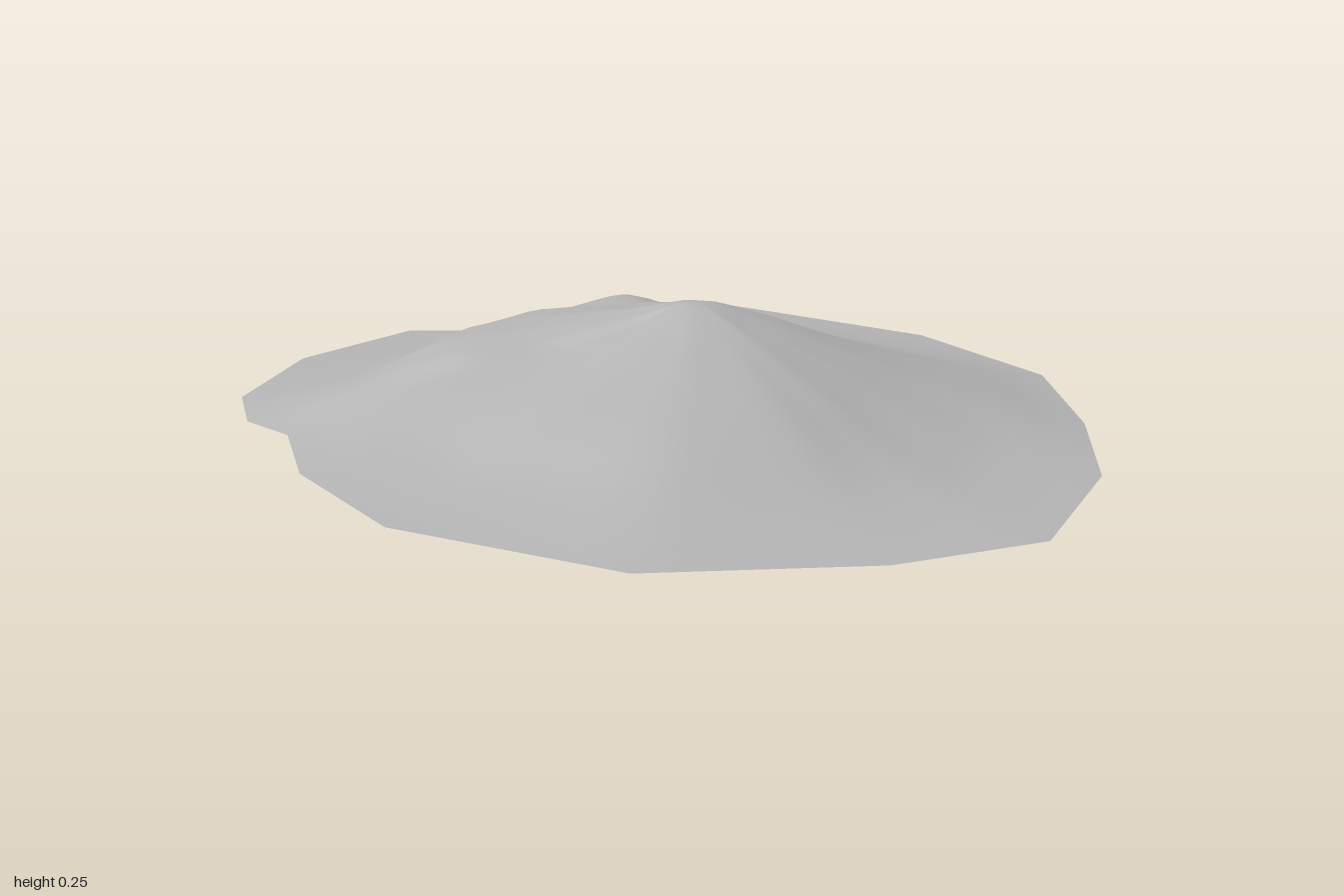
import * as THREE from 'three';

// Rim of the mound on the ground, [x, z], running clockwise from the back
const RIM = [
  [-0.17, -1], [0.16, -0.96], [0.27, -0.81], [0.58, -0.76], [0.83, -0.5], [0.88, 0.1],
  [0.75, 0.5], [0.48, 0.74], [0.19, 0.92], [-0.2, 1], [-0.48, 0.82], [-0.79, 0.46],
  [-0.88, -0.06], [-0.76, -0.41], [-0.6, -0.61], [-0.585, -0.75], [-0.47, -0.89],
];

// Heights along the spoke from the peak to each rim point, at the inner STOPS
const SPOKES = [
  [0.22, 0.18, 0.13, 0.03], [0.215, 0.175, 0.13, 0.03], [0.22, 0.18, 0.14, 0.07],
  [0.215, 0.17, 0.14, 0.06], [0.205, 0.125, 0.085, 0.03], [0.215, 0.13, 0.08, 0.025],
  [0.22, 0.155, 0.095, 0.045], [0.22, 0.16, 0.1, 0.05], [0.215, 0.15, 0.08, 0.025],
  [0.215, 0.145, 0.07, 0.02], [0.215, 0.16, 0.1, 0.03], [0.215, 0.165, 0.115, 0.05],
  [0.21, 0.155, 0.1, 0.03], [0.205, 0.145, 0.095, 0.04], [0.205, 0.15, 0.115, 0.07],
  [0.215, 0.17, 0.145, 0.075], [0.215, 0.18, 0.145, 0.05],
];
const STOPS = [0, 0.15, 0.35, 0.55, 0.75, 1];
const PEAK = { x: 0.05, y: 0.25, z: 0 };
const AROUND = 4, OUTWARD = 4; // subdivisions between control points

function smooth(a, b, c, d, t) {
  return b + 0.5 * t * (c - a + t * (2 * a - 5 * b + 4 * c - d + t * (3 * (b - c) + d - a)));
}

function moundGeometry() {
  const n = RIM.length, columns = n * AROUND, rings = (STOPS.length - 1) * OUTWARD;
  const positions = [PEAK.x, PEAK.y, PEAK.z], index = [];
  const wrap = (i) => (i + n) % n;
  const height = (spoke, stop) => {
    if (stop === 0) return PEAK.y;
    return stop >= STOPS.length - 1 ? 0 : SPOKES[wrap(spoke)][Math.abs(stop) - 1];
  };

  for (let r = 1; r <= rings; r++) {
    const s = Math.min(Math.floor(r / OUTWARD), STOPS.length - 2);
    const u = r / OUTWARD - s;
    const f = THREE.MathUtils.lerp(STOPS[s], STOPS[s + 1], u);
    // Height on one spoke at this ring
    const along = (k) => smooth(height(k, s - 1), height(k, s), height(k, s + 1), height(k, s + 2), u);
    for (let c = 0; c < columns; c++) {
      const k = Math.floor(c / AROUND), v = c / AROUND - k;
      const [x0, z0] = RIM[k], [x1, z1] = RIM[wrap(k + 1)];
      const y = smooth(along(k - 1), along(k), along(k + 1), along(k + 2), v);
      positions.push(
        THREE.MathUtils.lerp(PEAK.x, x0 + (x1 - x0) * v, f),
        r === rings ? 0 : Math.max(0, y),
        THREE.MathUtils.lerp(PEAK.z, z0 + (z1 - z0) * v, f),
      );
    }
  }

  // Fan at the peak, then quads between rings
  for (let c = 0; c < columns; c++) {
    const next = (c + 1) % columns;
    index.push(0, 1 + next, 1 + c);
    for (let r = 0; r < rings - 1; r++) {
      const a = 1 + r * columns + c, b = 1 + r * columns + next;
      index.push(a, b, b + columns, a, b + columns, a + columns);
    }
  }

  const geometry = new THREE.BufferGeometry();
  geometry.setAttribute('position', new THREE.Float32BufferAttribute(positions, 3));
  geometry.setIndex(index);
  geometry.computeVertexNormals();
  return geometry;
}

export function createModel() {
  const group = new THREE.Group();
  group.name = 'mound';
  const stone = new THREE.MeshStandardMaterial({ color: 0xb4b4b4, side: THREE.DoubleSide });
  stone.name = 'stone grey';
  const hill = new THREE.Mesh(moundGeometry(), stone);
  hill.name = 'hillSurface';
  group.add(hill);
  return group;
}
